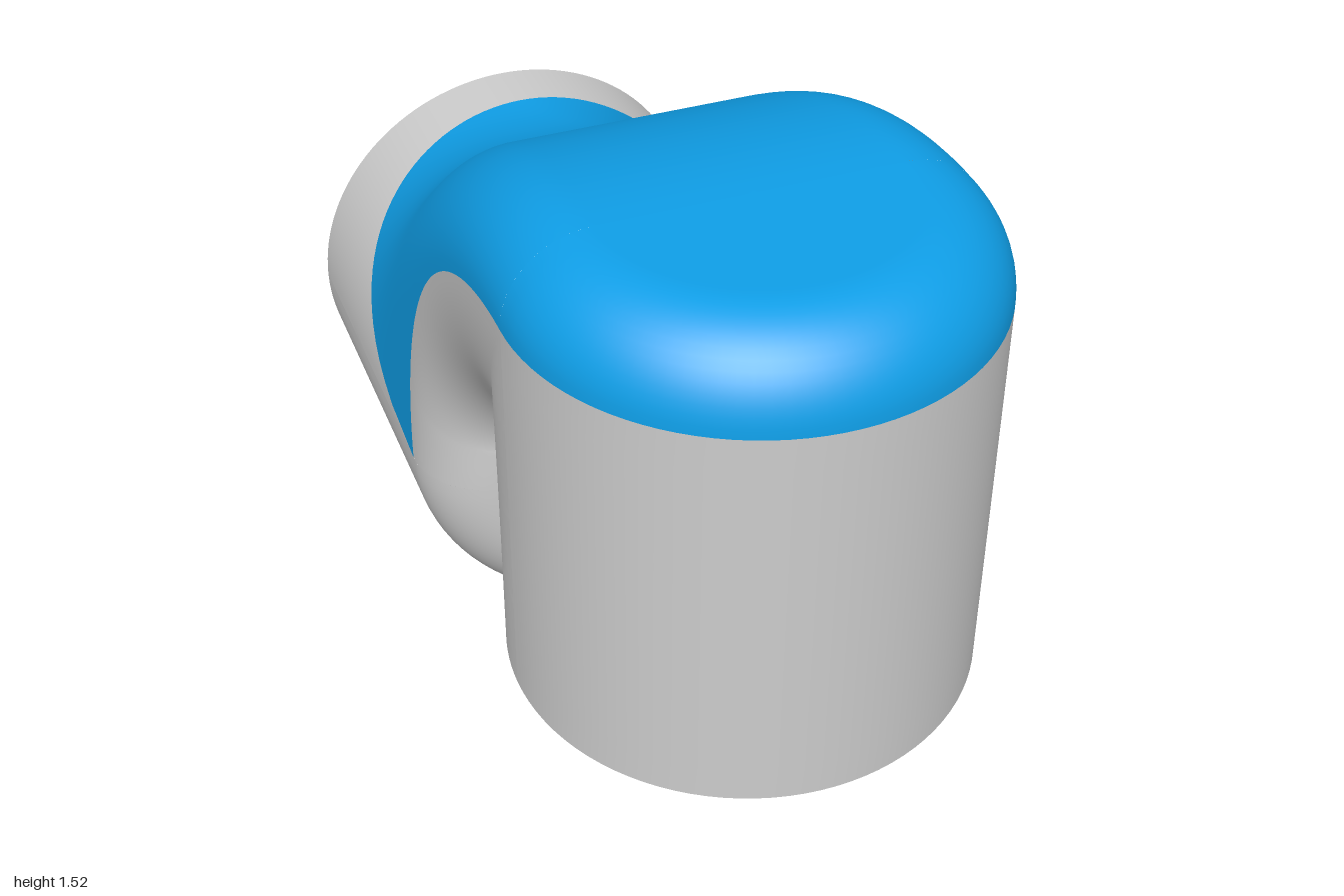
import * as THREE from 'three';
import { mergeGeometries, mergeVertices } from 'three/addons/utils/BufferGeometryUtils.js';

const R = 0.477;          // tube radius, also the height of the horizontal axis
const ZC = 1 - R;         // z of the upright tube axis
const F = 0.177;          // rounding of both closed ends
const TOP = 1.517, SHOULDER = TOP - F;
const SLOT = 0.05, SLOT_Y = 0.57;
const WALL = 0.05;
const { lerp, smoothstep } = THREE.MathUtils;

// Surface over u, v in 0..1 given by f(u, v) -> [x, y, z]
function grid(nu, nv, f, flip) {
  const pos = [], index = [];
  for (let i = 0; i <= nu; i++)
    for (let j = 0; j <= nv; j++) pos.push(...f(i / nu, j / nv));
  for (let i = 0; i < nu; i++)
    for (let j = 0; j < nv; j++) {
      const a = i * (nv + 1) + j, b = a + nv + 1;
      if (flip) index.push(a, b + 1, b, a, a + 1, b + 1);
      else index.push(a, b, b + 1, a, b + 1, a + 1);
    }
  const g = new THREE.BufferGeometry();
  g.setAttribute('position', new THREE.Float32BufferAttribute(pos, 3));
  g.setIndex(index);
  return g;
}

function weld(parts) {
  const g = mergeVertices(mergeGeometries(parts), 1e-4);
  g.computeVertexNormals();
  return g;
}

// Rounded section: x runs from -R to R, h rises from 0 at the sides to 1 in the middle
function section(b, v) {
  const w = v * 2 - 1, s = 1 - Math.abs(w), arc = b * Math.PI / 2;
  const k = arc / (arc + R - b);
  if (s <= k) {
    const t = (s / k) * Math.PI / 2;
    return [Math.sign(w) * (R - b + b * Math.cos(t)), Math.sin(t)];
  }
  return [Math.sign(w) * (R - b) * (1 - s) / (1 - k), 1];
}

// Side seam where the cover meets the body, as [z, y]
function seam(v) {
  const a = v * Math.PI / 2;
  return [ZC - (ZC + SLOT + F) * Math.sin(a), R + (SHOULDER - R) * Math.cos(a)];
}

// Ridge line of the cover in the middle plane
const ridge = new THREE.CubicBezierCurve(
  new THREE.Vector2(ZC, TOP), new THREE.Vector2(-0.15, TOP),
  new THREE.Vector2(-0.35, 2 * R), new THREE.Vector2(-0.86, 2 * R));

// Sloping cover: from the rounded top to a curved edge on the horizontal tube
function coverPoint(u, v) {
  const [x, h] = section(lerp(F, R, u * u), v);
  const [bz, by] = seam(u), o = ridge.getPoint(u);
  const cz = (bz + o.x) / 2 - 0.105 * u * u;
  const cy = (by + o.y) / 2 - (R / 2) * u * u;
  const t = Math.pow(h, 1 - 0.5 * u), q = 1 - t;
  return [x, q * q * by + 2 * q * t * cy + t * t * o.y,
    q * q * bz + 2 * q * t * cz + t * t * o.x];
}

// Inner side of the bend, wrapped over the slot between the two tubes
function crotchPoint(u, v) {
  const [x, h] = section(lerp(R, F, smoothstep(u, 0.4, 1)), v);
  const [bz, by] = u < 0.4 ? [ZC, lerp(R, SHOULDER, u / 0.4)] : seam((u - 0.4) / 0.6);
  let iz, iy;
  if (u < 0.1) [iz, iy] = [SLOT, lerp(R, SLOT_Y, u / 0.1)];
  else if (u > 0.9) [iz, iy] = [-SLOT, lerp(SLOT_Y, R, (u - 0.9) / 0.1)];
  else {
    const a = ((u - 0.1) / 0.8) * Math.PI;
    [iz, iy] = [SLOT * Math.cos(a), SLOT_Y + SLOT * Math.sin(a)];
  }
  return [x, lerp(by, iy, h), lerp(bz, iz, h)];
}

// Profile [radius, distance below the end face] of a rounded closed end
function endProfile(u) {
  if (u > 0.7) return [(R - F) * (1 - u) / 0.3, 0];
  const a = (u / 0.7) * Math.PI / 2;
  return [R - F + F * Math.cos(a), F - F * Math.sin(a)];
}

export function createModel() {
  const group = new THREE.Group();
  const grey = new THREE.MeshStandardMaterial({ color: 0xcccccc });
  const blue = new THREE.MeshStandardMaterial({ color: 0x0f9fe8 });
  const add = (name, geometry, material) => {
    const mesh = new THREE.Mesh(geometry, material);
    mesh.name = name;
    group.add(mesh);
    return mesh;
  };
  const angle = v => (v - 0.5) * Math.PI;

  // Front half of the upright tube and its rounded top
  const frontWall = grid(12, 48, (u, v) =>
    [R * Math.sin(angle(v)), lerp(R, SHOULDER, u), ZC + R * Math.cos(angle(v))], true);
  const frontCap = grid(20, 48, (u, v) => {
    const [r, d] = endProfile(u);
    return [r * Math.sin(angle(v)), TOP - d, ZC + r * Math.cos(angle(v))];
  }, true);

  // Lower half of the horizontal tube with its rounded closed end
  const lowerTube = grid(32, 48, (u, v) => {
    const [r, d] = u < 0.3 ? [R, lerp(1 - SLOT, F, u / 0.3)] : endProfile((u - 0.3) / 0.7);
    return [r * Math.sin(angle(v)), R - r * Math.cos(angle(v)), -SLOT - d];
  }, true);

  // Upper half of the horizontal tube, behind the cover
  const upperTube = grid(12, 64, (u, v) => {
    const [x, y, z] = coverPoint(1, v);
    return [x, y, lerp(z, -1, u)];
  }, true);

  const crotch = grid(100, 64, crotchPoint, false);
  const slope = grid(60, 64, coverPoint, true);

  const bodyParts = [frontWall, lowerTube, upperTube, crotch];
  const coverParts = [frontCap, slope];
  add('elbowBody', weld(bodyParts), grey);
  add('elbowCover', weld(coverParts), blue);

  // Inner wall: the whole skin moved inwards and turned around
  const inner = weld([...bodyParts, ...coverParts]);
  const p = inner.attributes.position, n = inner.attributes.normal;
  for (let i = 0; i < p.count; i++)
    p.setXYZ(i, p.getX(i) - WALL * n.getX(i), p.getY(i) - WALL * n.getY(i),
      p.getZ(i) - WALL * n.getZ(i));
  inner.index.array.reverse();
  inner.computeVertexNormals();
  add('innerWall', inner, grey);

  // Rims of the two openings
  const rim = new THREE.RingGeometry(R - WALL, R, 96);
  const bottomRim = add('bottomRim', rim, grey);
  bottomRim.rotation.x = Math.PI / 2;
  bottomRim.position.set(0, R, ZC);
  const rearRim = add('rearRim', rim, grey);
  rearRim.rotation.y = Math.PI;
  rearRim.position.set(0, R, -1);

  return group;
}
